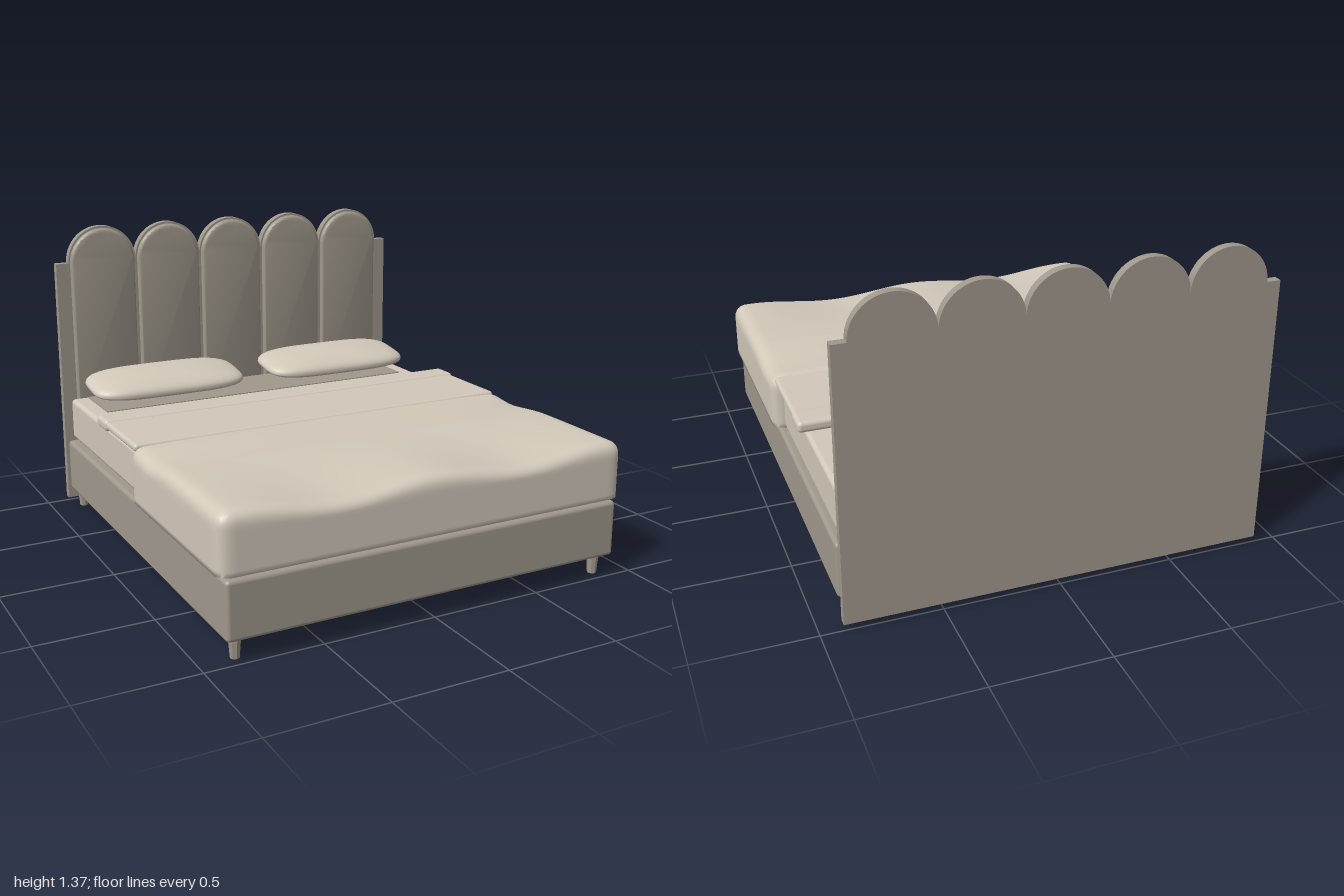
import * as THREE from 'three';
import { mergeVertices, toCreasedNormals } from 'three/addons/utils/BufferGeometryUtils.js';
import { RoundedBoxGeometry } from 'three/addons/geometries/RoundedBoxGeometry.js';

const upholstery = new THREE.MeshStandardMaterial({ color: 0xa0988c });
upholstery.name = 'taupe upholstery';
const linen = new THREE.MeshStandardMaterial({ color: 0xd2c9ba });
linen.name = 'cream linen';

function add(group, name, geometry, material, x = 0, y = 0, z = 0) {
  const mesh = new THREE.Mesh(geometry, material);
  mesh.name = name;
  mesh.position.set(x, y, z);
  group.add(mesh);
  return mesh;
}

// Rounded slab given by its half width and its y and z ranges
function slab(group, name, material, halfW, y0, y1, z0, z1, r) {
  const g = new RoundedBoxGeometry(halfW * 2, y1 - y0, z1 - z0, 4, r);
  return add(group, name, g, material, 0, (y0 + y1) / 2, (z0 + z1) / 2);
}

// Reshape every vertex by a rule and rebuild smooth normals
function reshape(geometry, rule) {
  geometry.deleteAttribute('uv');
  geometry.deleteAttribute('normal');
  const g = mergeVertices(geometry, 1e-5);
  const p = g.attributes.position;
  const v = new THREE.Vector3();
  for (let i = 0; i < p.count; i++) {
    v.fromBufferAttribute(p, i);
    rule(v);
    p.setXYZ(i, v.x, v.y, v.z);
  }
  g.computeVertexNormals();
  return g;
}

// Puffy cushion: squared plan, flatter underside
function pillowGeometry() {
  return reshape(new THREE.SphereGeometry(1, 64, 32), (v) => {
    const r = Math.hypot(v.x, v.z);
    const q = Math.pow(v.x ** 4 + v.z ** 4, 0.25);
    const k = q > 1e-6 ? r / q : 1;
    const y = Math.sign(v.y) * Math.pow(Math.abs(v.y), 0.8);
    v.set(v.x * k * 0.383, y * (y > 0 ? 0.062 : 0.035), v.z * k * 0.168);
  });
}

// Draped cover: rounded top and sides, open-cut hem, soft waves on top
function duvetGeometry() {
  const w = 0.93, h = 0.25, d = 0.47, r = 0.055;
  const inner = new THREE.Vector3();
  return reshape(new THREE.BoxGeometry(w * 2, h, d * 2, 72, 12, 44), (v) => {
    inner.set(
      THREE.MathUtils.clamp(v.x, -w + r, w - r),
      Math.min(v.y, h / 2 - r),
      THREE.MathUtils.clamp(v.z, -d + r, d - r));
    const out = v.clone().sub(inner);
    if (out.length() > 1e-6 && v.y > -h / 2 + 1e-4) out.setLength(r);
    else if (Math.hypot(out.x, out.z) > r) out.setLength(r);
    // Interior points of the hem stay flat
    const onHem = v.y < -h / 2 + 1e-4 && Math.abs(v.x) < w - 1e-4 && Math.abs(v.z) < d - 1e-4;
    if (!onHem) v.copy(inner).add(out);
    const lift = THREE.MathUtils.smoothstep(v.y, 0, h / 2);
    const front = THREE.MathUtils.smoothstep(v.z, -0.1, d);
    const folds = 0.035 * (0.5 - 0.5 * Math.cos(v.x * Math.PI / 0.42)) * front;
    const side = 0.025 * Math.exp(-(((v.z + 0.28) / 0.14) ** 2)) * (v.x / w) ** 6;
    v.y -= lift * (folds + side);
  });
}

// Back board with a scalloped top
function backBoardGeometry(centres, r, spring) {
  const s = new THREE.Shape();
  s.moveTo(-0.905, 0.025);
  s.lineTo(0.905, 0.025);
  s.lineTo(0.905, spring);
  for (const c of [...centres].reverse()) s.absarc(c, spring, r, 0, Math.PI, false);
  s.lineTo(-0.905, spring);
  const g = new THREE.ExtrudeGeometry(s, { depth: 0.038, bevelEnabled: false, curveSegments: 28 });
  return toCreasedNormals(g, 0.6);
}

// Arched padded channel with a soft rim
function channelGeometry(halfW, bottom, spring) {
  const b = 0.018, hw = halfW - b;
  const s = new THREE.Shape();
  s.moveTo(-hw, bottom + b);
  s.lineTo(hw, bottom + b);
  s.lineTo(hw, spring);
  s.absarc(0, spring, hw, 0, Math.PI, false);
  s.lineTo(-hw, bottom + b);
  const g = new THREE.ExtrudeGeometry(s, {
    depth: 0.002, bevelEnabled: true, bevelSize: b, bevelThickness: 0.018,
    bevelSegments: 5, curveSegments: 28,
  });
  return toCreasedNormals(g, 0.6);
}

export function createModel() {
  const bed = new THREE.Group();
  bed.name = 'bed';

  // Headboard
  const headboard = new THREE.Group();
  headboard.name = 'headboard';
  bed.add(headboard);
  const centres = [-2, -1, 0, 1, 2].map((i) => i * 0.338);
  add(headboard, 'backBoard', backBoardGeometry(centres, 0.169, 1.202), upholstery, 0, 0, -1);
  const channel = channelGeometry(0.161, 0.45, 1.2);
  for (const c of centres) add(headboard, 'paddedChannel', channel, upholstery, c, 0, -0.962);

  // Base and mattress
  slab(bed, 'base', upholstery, 0.905, 0.09, 0.338, -0.92, 1.0, 0.018);
  slab(bed, 'baseDeck', upholstery, 0.86, 0.33, 0.355, -0.89, 0.95, 0.005);
  slab(bed, 'mattress', linen, 0.88, 0.35, 0.545, -0.92, 0.9, 0.02);

  // Tapered legs
  const leg = toCreasedNormals(new THREE.CylinderGeometry(0.028, 0.02, 0.095, 8), 0.5);
  for (const x of [-0.848, 0.848]) {
    for (const z of [0.937, -0.9]) add(bed, 'leg', leg, upholstery, x, 0.0475, z);
  }

  // Bedding
  add(bed, 'duvet', duvetGeometry(), linen, 0, 0.475, 0.53);
  slab(bed, 'sheet', linen, 0.912, 0.563, 0.597, -0.3, 0.08, 0.015);
  slab(bed, 'sheetFold', linen, 0.918, 0.555, 0.605, -0.405, -0.28, 0.018);

  // Darker panel beneath the pillows
  add(bed, 'pillowPanel', new THREE.BoxGeometry(1.6, 0.006, 0.29), upholstery, 0, 0.546, -0.755);

  // Pillows, tipped towards the foot
  const pillow = pillowGeometry();
  for (const x of [-0.457, 0.457]) {
    add(bed, 'pillow', pillow, linen, x, 0.632, -0.738).rotation.x = 0.15;
  }
  return bed;
}
